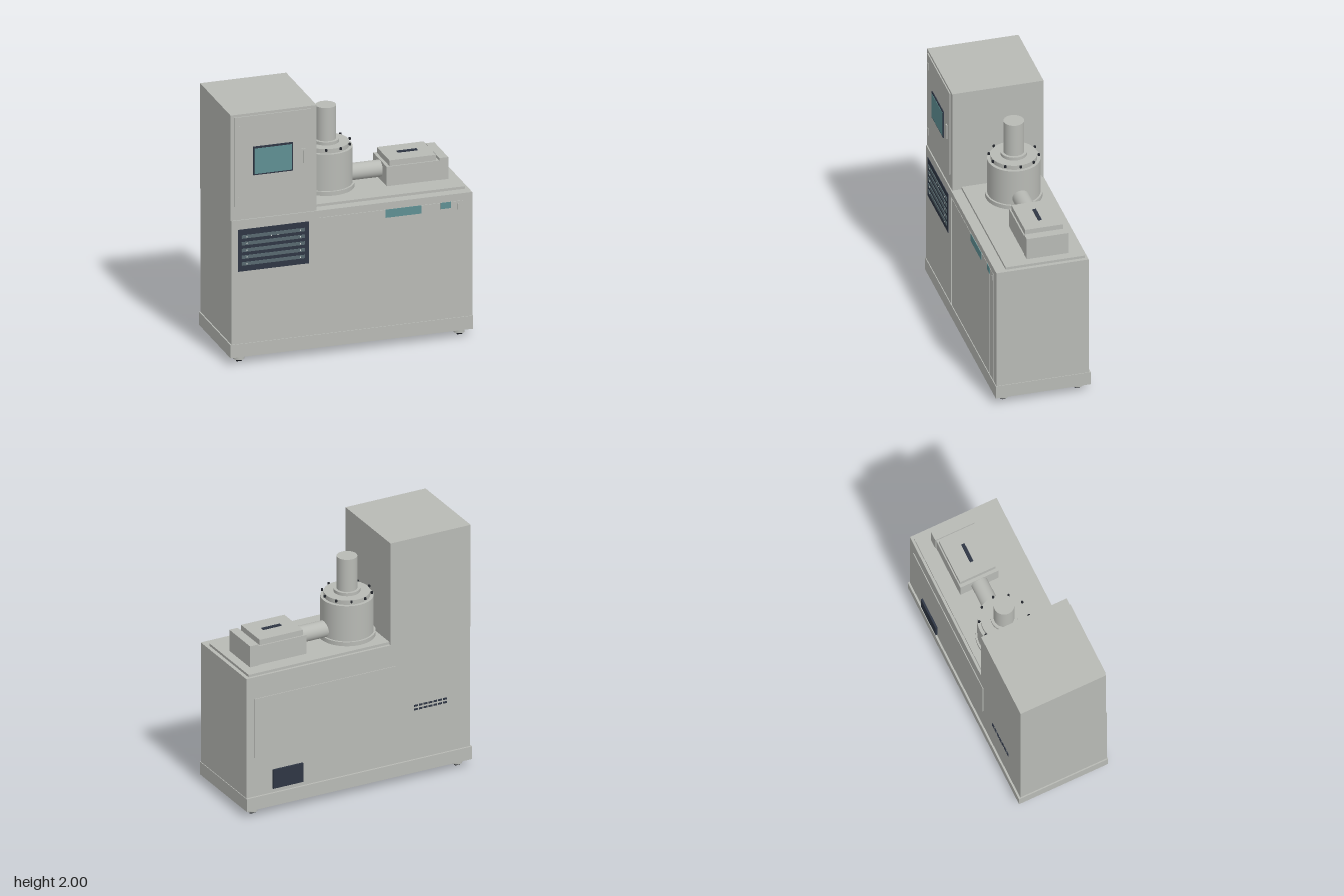
import * as THREE from 'three';

const mat = (name, color, extra = {}) => {
  const m = new THREE.MeshStandardMaterial({ color, ...extra });
  m.name = name;
  return m;
};

export function createModel() {
  const root = new THREE.Group();
  root.name = 'vacuumMachine';
  const grey = mat('paintedGrey', 0xb8bab5);
  const dark = mat('darkSlate', 0x2f3644);
  const teal = mat('tealGlass', 0x5f8f93);
  const slatGrey = mat('slatGrey', 0x58696f);
  const pale = mat('paleScrew', 0xd8dcd8);
  const black = mat('rubberBlack', 0x22252b);

  // Box given by its limits on each axis
  const box = (name, m, x0, x1, y0, y1, z0, z1, parent = root) => {
    const mesh = new THREE.Mesh(new THREE.BoxGeometry(x1 - x0, y1 - y0, z1 - z0), m);
    mesh.position.set((x0 + x1) / 2, (y0 + y1) / 2, (z0 + z1) / 2);
    mesh.name = name;
    parent.add(mesh);
    return mesh;
  };
  // Upright cylinder between two heights
  const cyl = (name, m, r, y0, y1, x, z, parent = root) => {
    const mesh = new THREE.Mesh(new THREE.CylinderGeometry(r, r, y1 - y0, 40), m);
    mesh.position.set(x, (y0 + y1) / 2, z);
    mesh.name = name;
    parent.add(mesh);
    return mesh;
  };

  // Cabinets
  box('plinth', grey, -0.96, 0.955, 0.06, 0.165, -0.37, 0.37);
  box('baseCabinet', grey, -0.95, 0.95, 0.165, 1.155, -0.355, 0.358);
  box('controlTower', grey, -0.955, -0.275, 1.155, 2, -0.355, 0.355);
  box('topPlate', grey, -0.275, 0.92, 1.155, 1.175, -0.335, 0.283);

  // Thin front panels separated by grooves
  box('topRail', grey, -0.95, 0.95, 1.102, 1.155, 0.358, 0.364);
  box('leftPanel', grey, -0.95, -0.272, 0.165, 1.102, 0.358, 0.364);
  box('mainDoor', grey, -0.255, 0.75, 0.165, 1.096, 0.358, 0.364);
  box('narrowPanel', grey, 0.759, 0.878, 0.165, 1.096, 0.358, 0.364);
  box('cornerPost', grey, 0.882, 0.95, 0.165, 1.102, 0.358, 0.364);
  box('doorLabel', teal, 0.265, 0.547, 1.033, 1.098, 0.364, 0.367);
  box('smallLabel', teal, 0.7, 0.78, 1.048, 1.098, 0.364, 0.367);
  box('panelLatch', grey, 0.835, 0.845, 1.03, 1.075, 0.364, 0.369);

  // Tower door with screen, hinges and handle
  const door = new THREE.Group();
  door.name = 'towerDoor';
  root.add(door);
  box('doorLeaf', grey, -0.925, -0.325, 1.265, 1.98, 0.355, 0.364, door);
  box('screenFrame', dark, -0.78, -0.468, 1.505, 1.733, 0.364, 0.371, door);
  box('screen', teal, -0.77, -0.478, 1.515, 1.718, 0.371, 0.374, door);
  for (const y of [1.31, 1.88]) box('hinge', grey, -0.9, -0.886, y - 0.03, y + 0.03, 0.364, 0.37, door);
  box('handle', grey, -0.385, -0.367, 1.555, 1.67, 0.364, 0.372, door);
  box('handleTop', grey, -0.4, -0.385, 1.655, 1.67, 0.364, 0.372, door);

  // Louvred vent on the left panel
  const vent = new THREE.Group();
  vent.name = 'frontVent';
  root.add(vent);
  box('ventPlate', dark, -0.9, -0.342, 0.745, 1.08, 0.364, 0.368, vent);
  for (let i = 0; i < 5; i++) {
    const y = 1.021 - i * 0.054;
    box('slat', slatGrey, -0.872, -0.374, y - 0.013, y + 0.013, 0.368, 0.373, vent);
    for (const x of [-0.832, -0.41]) box('screw', pale, x - 0.005, x + 0.005, y - 0.005, y + 0.005, 0.373, 0.376, vent);
  }
  for (const x of [-0.64, -0.588]) box('screw', pale, x - 0.004, x + 0.004, 1.005, 1.012, 0.373, 0.376, vent);

  // Back: access panel, dark inlet and two rows of slots
  box('backPanel', grey, -0.316, 0.885, 0.485, 0.975, -0.361, -0.355);
  box('backInlet', dark, 0.475, 0.73, 0.2, 0.355, -0.37, -0.355);
  for (let i = 0; i < 7; i++)
    for (const y of [0.577, 0.607]) {
      const x = -0.75 + i * 0.041;
      box('backSlot', dark, x, x + 0.03, y - 0.007, y + 0.007, -0.36, -0.354);
    }

  // Vacuum chamber with bolted lid and vertical pipe
  const chamber = new THREE.Group();
  chamber.name = 'chamber';
  chamber.position.set(-0.062, 0, -0.062);
  root.add(chamber);
  cyl('lowerFlange', grey, 0.215, 1.175, 1.208, 0, 0, chamber);
  cyl('drum', grey, 0.2, 1.208, 1.5, 0, 0, chamber);
  cyl('lid', grey, 0.175, 1.5, 1.535, 0, 0, chamber);
  cyl('collar', grey, 0.1, 1.535, 1.56, 0, 0, chamber);
  cyl('verticalPipe', grey, 0.078, 1.56, 1.826, 0, 0, chamber);
  for (let i = 0; i < 10; i++) {
    const a = (i * Math.PI) / 5;
    cyl('lidBolt', black, 0.009, 1.522, 1.538, 0.188 * Math.cos(a), 0.188 * Math.sin(a), chamber);
  }

  // Side pipe and pump housing
  const pipe = cyl('sidePipe', grey, 0.065, 0, 0.27, 0.24, -0.062);
  pipe.rotation.z = Math.PI / 2;
  pipe.position.y = 1.263;
  box('pumpHousing', grey, 0.365, 0.78, 1.175, 1.33, -0.218, 0.097);
  box('pumpLid', grey, 0.39, 0.758, 1.33, 1.375, -0.208, 0.086);
  box('pumpGrip', dark, 0.5, 0.655, 1.375, 1.383, -0.072, -0.045);
  box('pumpEndPlate', grey, 0.78, 0.85, 1.175, 1.35, -0.226, 0.1);

  // Castors
  for (const x of [-0.87, 0.87])
    for (const z of [-0.29, 0.29]) {
      cyl('castorHousing', grey, 0.043, 0.022, 0.06, x, z);
      const wheel = cyl('castorWheel', black, 0.038, 0, 0.034, x, z);
      wheel.rotation.z = Math.PI / 2;
      wheel.position.y = 0.038;
    }
  return root;
}
